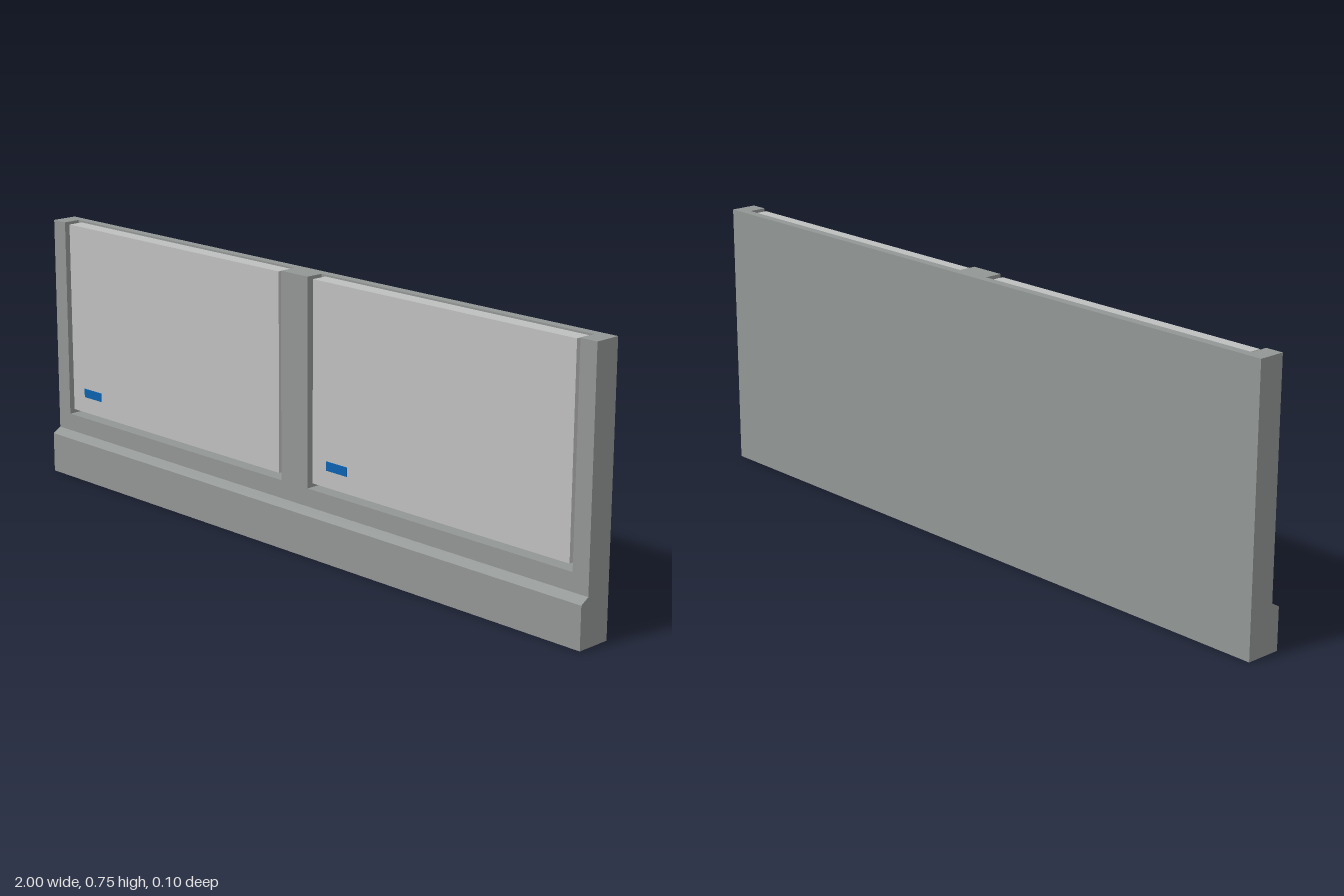
import * as THREE from 'three';

const frameGrey = new THREE.MeshStandardMaterial({ name: 'frameGrey', color: 0x929694 });
const panelGrey = new THREE.MeshStandardMaterial({ name: 'panelGrey', color: 0xbdbfbe });
const labelBlue = new THREE.MeshStandardMaterial({ name: 'labelBlue', color: 0x0a62b0 });

const HEIGHT = 0.75, SILL = 0.18;
const BACK = -0.05, RECESS = -0.025, FRONT = 0.025;

// Box given by its minimum and maximum corners
function box(name, material, [x0, y0, z0], [x1, y1, z1]) {
  const mesh = new THREE.Mesh(new THREE.BoxGeometry(x1 - x0, y1 - y0, z1 - z0), material);
  mesh.position.set((x0 + x1) / 2, (y0 + y1) / 2, (z0 + z1) / 2);
  mesh.name = name;
  return mesh;
}

export function createModel() {
  const model = new THREE.Group();
  model.name = 'wallPanel';

  // Plinth and sill: side profile with a sloped ledge, swept along x
  const profile = new THREE.Shape([
    [-BACK, 0], [-BACK, SILL], [-FRONT, SILL], [-FRONT, 0.13], [-0.05, 0.115], [-0.05, 0],
  ].map(([x, y]) => new THREE.Vector2(x, y)));
  const plinth = new THREE.Mesh(
    new THREE.ExtrudeGeometry(profile, { depth: 2, bevelEnabled: false }), frameGrey);
  plinth.rotation.y = Math.PI / 2;
  plinth.position.x = -1;
  plinth.name = 'plinth';
  model.add(plinth);

  // Back wall and the three posts that stand in front of it
  model.add(box('backWall', frameGrey, [-1, SILL, BACK], [1, HEIGHT, RECESS]));
  for (const [name, x0, x1] of [['rightPost', -1, -0.95], ['middlePost', -0.05, 0.05], ['leftPost', 0.95, 1]]) {
    model.add(box(name, frameGrey, [x0, SILL, RECESS], [x1, HEIGHT, FRONT]));
  }

  // Inset panels with a narrow gap around them, each with a small label
  for (const [side, x] of [['right', -0.95], ['left', 0.05]]) {
    model.add(box(side + 'Panel', panelGrey, [x + 0.014, 0.196, RECESS], [x + 0.886, 0.745, 0.02]));
    model.add(box(side + 'Label', labelBlue, [x + 0.066, 0.243, 0.019], [x + 0.141, 0.268, 0.022]));
  }
  return model;
}
